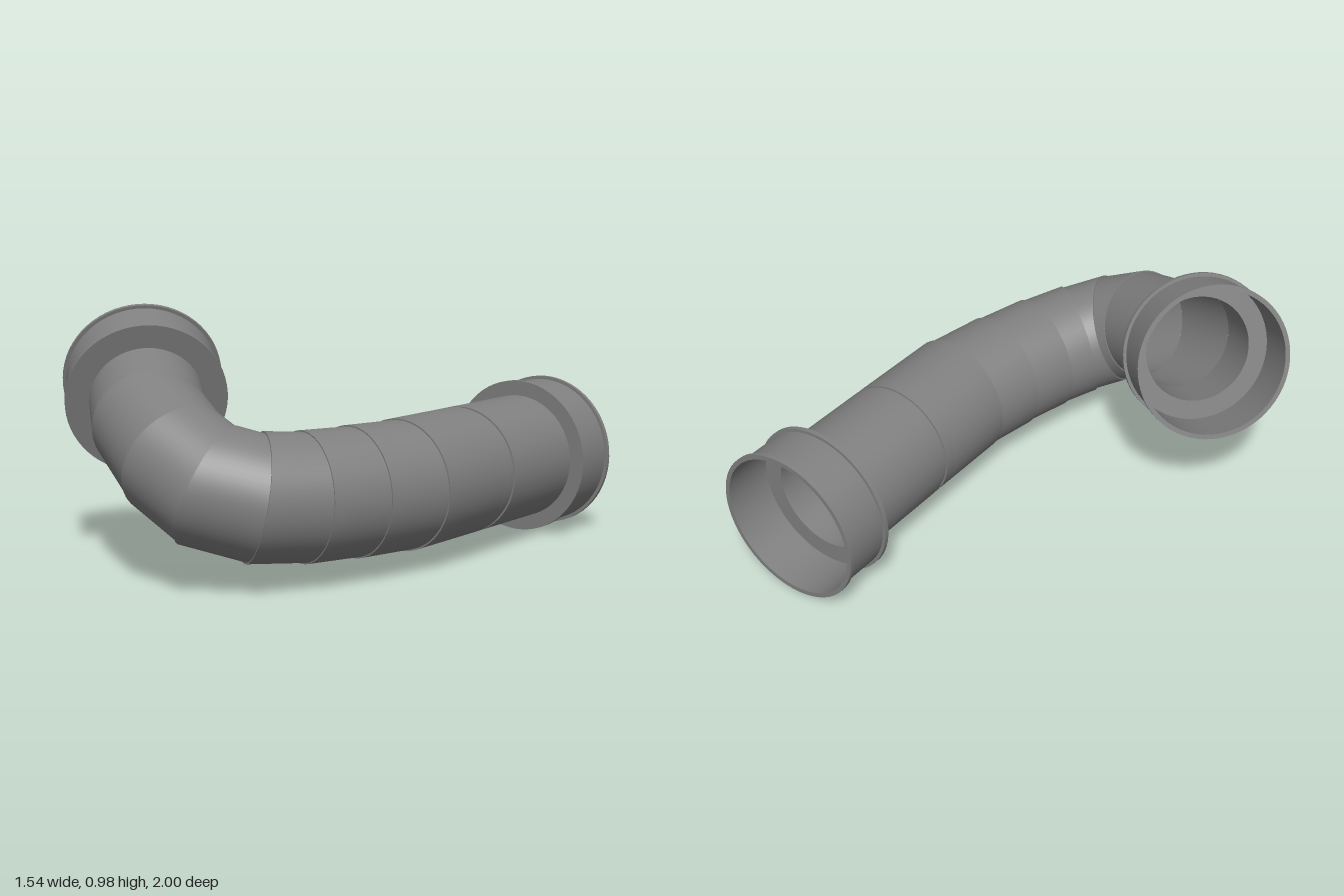
import * as THREE from 'three';
import { toCreasedNormals } from 'three/addons/utils/BufferGeometryUtils.js';

const SIDES = 64;
const PIPE_R = 0.253, BORE_R = 0.217;
const UP = new THREE.Vector3(0, 1, 0);
const material = new THREE.MeshStandardMaterial({ color: 0x808080 });

// Outline of a pipe of radius r running along dir, cut by the mitre plane at c
function cutLoop(c, plane, dir, r) {
  const q = new THREE.Quaternion().setFromUnitVectors(UP, dir);
  return Array.from({ length: SIDES }, (_, i) => {
    const t = (i / SIDES) * Math.PI * 2;
    const radial = new THREE.Vector3(Math.sin(t), 0, Math.cos(t)).applyQuaternion(q);
    const slide = -r * radial.dot(plane) / dir.dot(plane);
    return radial.multiplyScalar(r).add(c).addScaledVector(dir, slide);
  });
}

// Closed band between two loops; swapping the loops turns it inside out
function band(name, from, to) {
  const idx = [];
  for (let i = 0; i < SIDES; i++) {
    const j = (i + 1) % SIDES;
    idx.push(i, j, SIDES + i, SIDES + i, j, SIDES + j);
  }
  const g = new THREE.BufferGeometry().setFromPoints([...from, ...to]);
  g.setIndex(idx);
  g.computeVertexNormals();
  const mesh = new THREE.Mesh(g, material);
  mesh.name = name;
  return mesh;
}

// Turned part starting at a point and running along a direction
function turned(name, profile, start, dir) {
  const pts = profile.map(([r, y]) => new THREE.Vector2(r, y));
  const mesh = new THREE.Mesh(toCreasedNormals(new THREE.LatheGeometry(pts, SIDES), 0.6), material);
  mesh.name = name;
  mesh.position.copy(start);
  mesh.quaternion.setFromUnitVectors(UP, dir);
  return mesh;
}

// Open socket with a lip at each end and a floor around the bore
const SOCKET_LEN = 0.215;
const socketProfile = [
  [BORE_R, 0], [0.314, 0], [0.314, 0.018], [0.301, 0.018],
  [0.301, SOCKET_LEN - 0.016], [0.314, SOCKET_LEN - 0.016], [0.314, SOCKET_LEN],
  [0.295, SOCKET_LEN], [0.295, 0.012], [BORE_R, 0.012], [BORE_R, 0],
];

export function createModel() {
  const model = new THREE.Group();
  model.name = 'pipeBend';

  // Centre line with a mitre joint at every inner point
  const path = [
    [0.455, 0.315, -0.3], [0.453, 0.315, 0.045], [0.404, 0.319, 0.282],
    [0.343, 0.324, 0.492], [0.262, 0.339, 0.658], [0.14, 0.385, 0.764],
    [-0.008, 0.458, 0.768], [-0.255, 0.555, 0.652], [-0.554, 0.68, 0.398],
  ].map(p => new THREE.Vector3(...p));
  const last = path.length - 1;

  // Each length is slightly narrower than the one before
  const radii = [PIPE_R, 0.247, 0.242, 0.237, 0.231, 0.226, 0.222, 0.221];

  // The far end stops at the socket floor
  const endDir = path[last].clone().sub(path[last - 1]).normalize();
  path[last].addScaledVector(endDir, -SOCKET_LEN);

  const dirs = path.slice(1).map((p, i) => p.clone().sub(path[i]).normalize());
  dirs[0].set(0, 0, 1);
  const planes = path.map((_, i) =>
    (dirs[i - 1] || dirs[0]).clone().add(dirs[i] || dirs[last - 1]).normalize());

  const elbow = new THREE.Group();
  elbow.name = 'elbow';
  for (let i = 0; i < last; i++) {
    const start = r => cutLoop(path[i], planes[i], dirs[i], r);
    const end = r => cutLoop(path[i + 1], planes[i + 1], dirs[i], r);
    elbow.add(band('pipeSegment' + (i + 1), start(radii[i]), end(radii[i])));
    elbow.add(band('boreSegment' + (i + 1), end(BORE_R), start(BORE_R)));
    if (i > 0) elbow.add(band('jointLedge' + i, start(radii[i - 1]), start(radii[i])));
  }
  model.add(elbow);

  // Straight length with a narrow groove where two pipes meet
  const back = new THREE.Vector3(0, 0, -1);
  const len = 0.485, gap = 0.048;
  model.add(turned('straightPipe', [
    [PIPE_R, 0], [PIPE_R, gap], [0.246, gap], [0.246, gap + 0.02], [PIPE_R, gap + 0.02],
    [PIPE_R, len], [BORE_R, len], [BORE_R, 0],
  ], path[0], back));

  // Sockets at both ends
  model.add(turned('backSocket', socketProfile, new THREE.Vector3(0.455, 0.315, -0.785), back));
  model.add(turned('sideSocket', socketProfile, path[last], endDir));
  return model;
}
